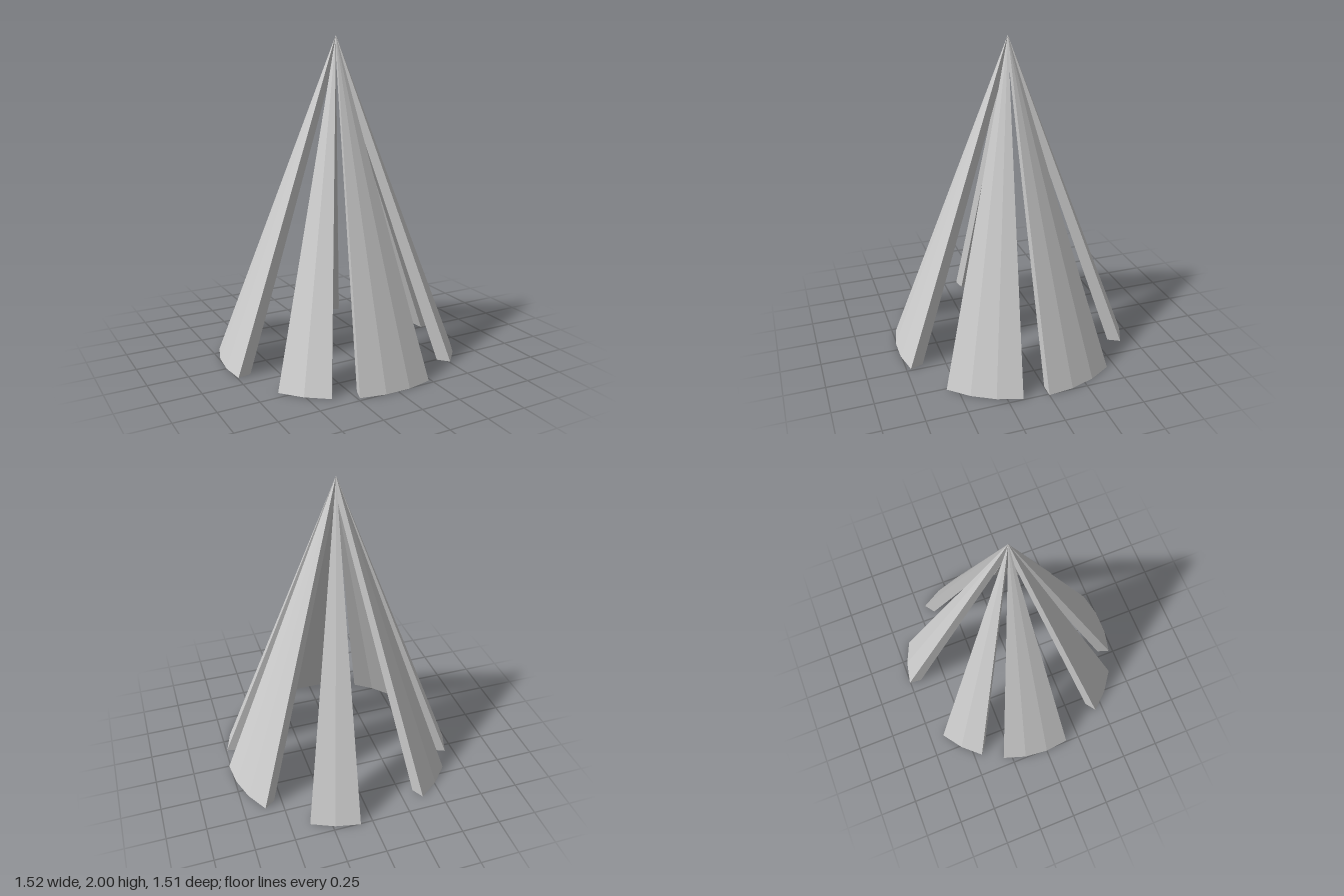
import * as THREE from 'three';

const STEP = Math.PI / 15; // thirty facets around the full cone
const OUTER = { radius: 0.76, height: 2 };
const INNER = { radius: 0.675, height: 1.88 };

// A thick slice of a hollow faceted cone, from facet corner `start` over `count` facets
function slatGeometry(start, count) {
  const pos = [];
  const tri = (...points) => points.forEach((p) => pos.push(p.x, p.y, p.z));
  const quad = (a, b, c, d) => { tri(a, b, c); tri(a, c, d); };
  const rim = (cone, i) => new THREE.Vector3(
    cone.radius * Math.cos(i * STEP), 0, cone.radius * Math.sin(i * STEP));
  const tip = new THREE.Vector3(0, OUTER.height, 0);
  const innerTip = new THREE.Vector3(0, INNER.height, 0);
  const end = start + count;

  for (let i = start; i < end; i++) {
    const p0 = rim(OUTER, i), p1 = rim(OUTER, i + 1);
    const q0 = rim(INNER, i), q1 = rim(INNER, i + 1);
    tri(p1, p0, tip);      // outside
    tri(q0, q1, innerTip); // inside
    quad(p0, p1, q1, q0);  // underside
  }
  // the two cut edges
  quad(rim(OUTER, start), rim(INNER, start), innerTip, tip);
  quad(tip, innerTip, rim(INNER, end), rim(OUTER, end));

  const geometry = new THREE.BufferGeometry();
  geometry.setAttribute('position', new THREE.Float32BufferAttribute(pos, 3));
  geometry.computeVertexNormals();
  return geometry;
}

export function createModel() {
  const group = new THREE.Group();
  group.name = 'slattedCone';
  const material = new THREE.MeshStandardMaterial({ color: 0xcccccc, flatShading: true });

  // Slats as [first facet corner, facet count], counted from +x towards +z
  const slats = {
    leftFrontSlat: [1, 3],
    frontSlat: [6, 3],
    rightFrontSlat: [10, 2],
    rightSlat: [14, 3],
    rightBackSlat: [18, 2],
    backSlat: [23, 2],
    leftBackSlat: [27, 3],
  };
  for (const [name, [start, count]] of Object.entries(slats)) {
    const mesh = new THREE.Mesh(slatGeometry(start, count), material);
    mesh.name = name;
    group.add(mesh);
  }
  return group;
}
